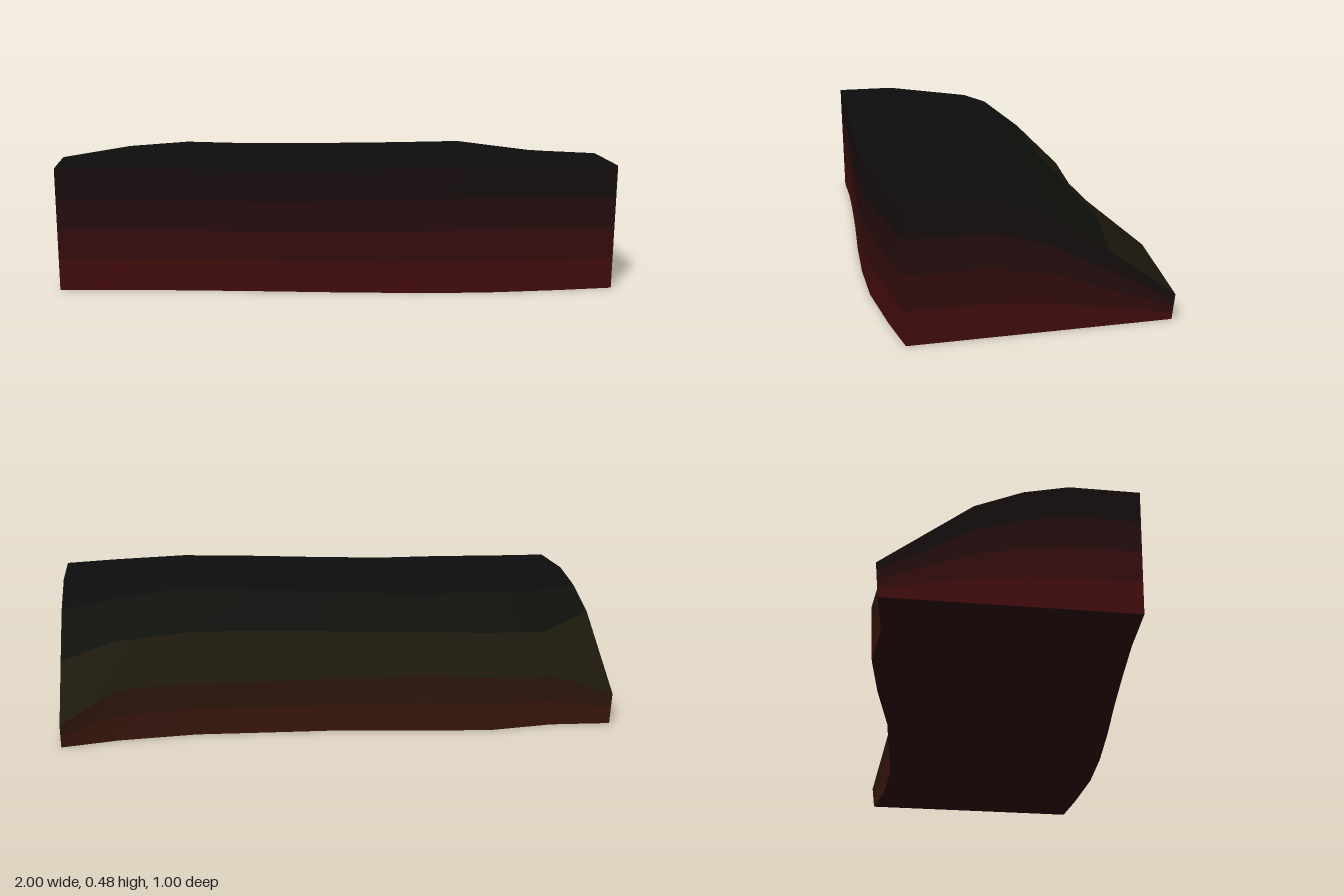
import * as THREE from 'three';

// Cross-sections along x: [x, then (z, y) of front rim, crown, crease, mid slope, back lip]
const SECTIONS = [
  [-1.0, 0.345, 0.45, 0.11, 0.45, -0.04, 0.417, -0.2, 0.35, -0.5, 0.12],
  [-0.78, 0.36, 0.45, 0.1, 0.457, -0.19, 0.44, -0.34, 0.32, -0.48, 0.19],
  [-0.55, 0.385, 0.45, 0.1, 0.457, -0.22, 0.45, -0.37, 0.335, -0.5, 0.205],
  [-0.3, 0.415, 0.445, 0.12, 0.45, -0.19, 0.445, -0.33, 0.34, -0.47, 0.215],
  [0.0, 0.455, 0.45, 0.16, 0.458, -0.13, 0.452, -0.28, 0.34, -0.42, 0.205],
  [0.27, 0.485, 0.458, 0.2, 0.47, -0.09, 0.458, -0.25, 0.345, -0.4, 0.2],
  [0.52, 0.5, 0.465, 0.22, 0.477, -0.05, 0.466, -0.22, 0.345, -0.38, 0.2],
  [0.8, 0.49, 0.46, 0.22, 0.468, -0.03, 0.43, -0.22, 0.32, -0.395, 0.195],
  [1.0, 0.475, 0.455, 0.2, 0.453, 0.0, 0.385, -0.2, 0.248, -0.43, 0.085],
];

const sections = SECTIONS.map(([x, ...p]) =>
  [0, 2, 4, 6, 8].map((k) => new THREE.Vector3(x, p[k + 1], p[k])));

// Row of the same profile point along the whole length
const along = (k) => sections.map((s) => s[k]);

// Drop a rim point towards the ground; the base is slightly inset
const drop = (p, t) => new THREE.Vector3(p.x, p.y * t, p.z - 0.01 * Math.sign(p.z) * (1 - t));

// Smooth surface spanned between successive rows of points
function surface(name, rows, color) {
  const n = rows[0].length;
  const index = [];
  for (let r = 0; r < rows.length - 1; r++) {
    for (let i = 0; i < n - 1; i++) {
      const a = r * n + i, b = a + 1, c = b + n, d = a + n;
      index.push(a, b, c, a, c, d);
    }
  }
  const geometry = new THREE.BufferGeometry().setFromPoints(rows.flat());
  geometry.setIndex(index);
  geometry.computeVertexNormals();
  const mesh = new THREE.Mesh(geometry, new THREE.MeshStandardMaterial({ color }));
  mesh.name = name;
  return mesh;
}

// Wall below a rim, in bands that darken upwards
function wall(name, rim, colors) {
  const group = new THREE.Group();
  group.name = name;
  const n = colors.length;
  colors.forEach((color, i) => {
    const rows = [i / n, (i + 1) / n].map((t) => rim.map((p) => drop(p, t)));
    group.add(surface(name + 'Band' + (i + 1), rows, color));
  });
  return group;
}

export function createModel() {
  const model = new THREE.Group();
  model.name = 'terrainBlock';
  const reds = [0x430c0d, 0x340c0d, 0x250d0d, 0x160d0d];
  const browns = [0x3a160c, 0x2e170c];

  // Upper plateau and the slope falling to the back
  model.add(surface('plateau', [along(0), along(1), along(2)], 0x0d0d0d));
  model.add(surface('upperSlope', [along(2), along(3)], 0x0e110c));
  model.add(surface('lowerSlope', [along(3), along(4)], 0x1c180d));

  // Walls: front, back and both cut ends
  model.add(wall('frontWall', along(0), reds));
  model.add(wall('backWall', along(4).reverse(), browns));
  model.add(wall('leftEnd', sections[sections.length - 1], reds));
  model.add(wall('rightEnd', [...sections[0]].reverse(), reds));

  // Flat underside
  model.add(surface('underside', [along(4), along(0)].map((r) => r.map((p) => drop(p, 0))), 0x2a0808));
  return model;
}
